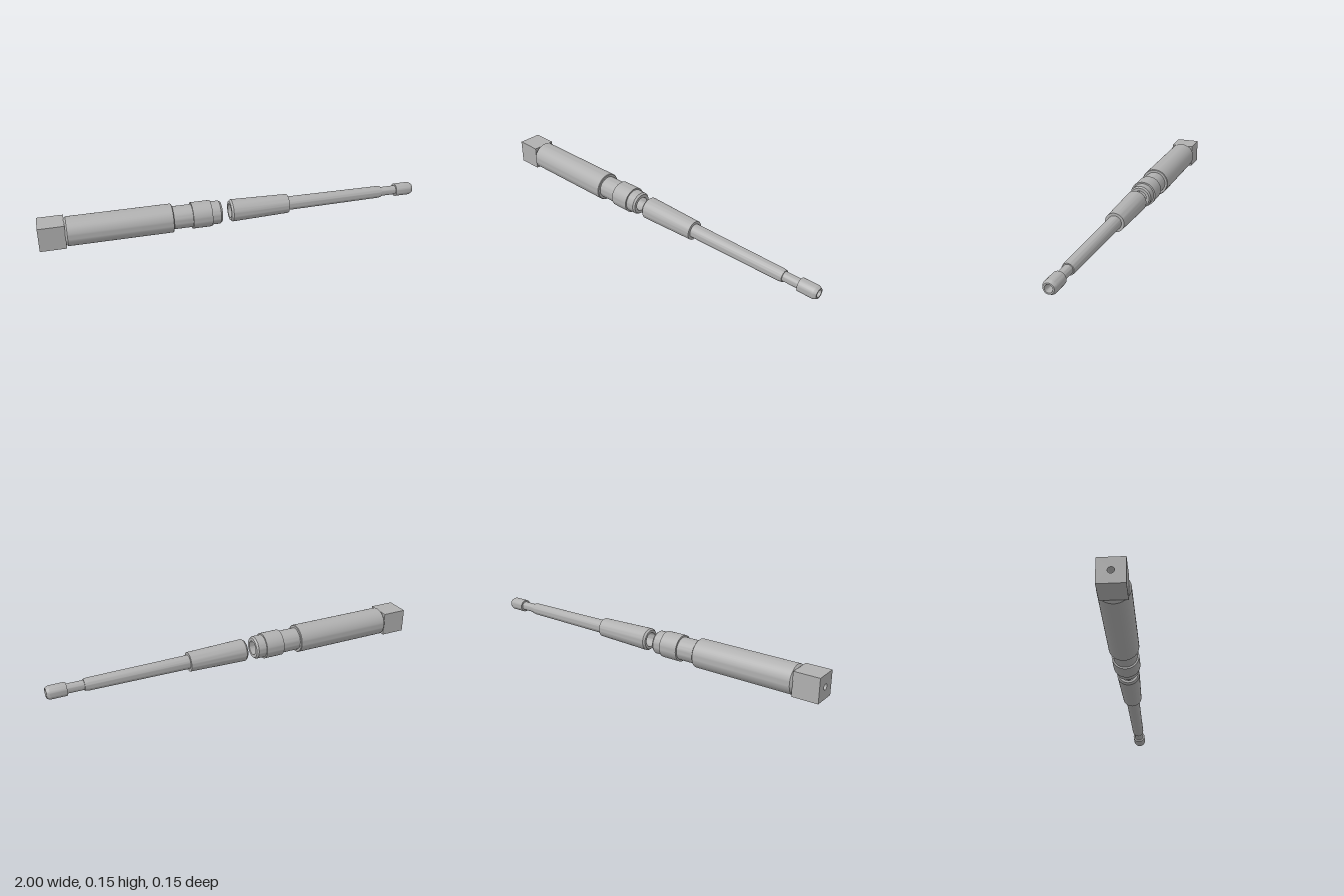
import * as THREE from 'three';
import { toCreasedNormals } from 'three/addons/utils/BufferGeometryUtils.js';

const AXIS_Y = 0.074;

export function createModel() {
  const model = new THREE.Group();
  const metal = new THREE.MeshStandardMaterial({ color: 0xb0b0b0 });
  metal.name = 'grey metal';

  const add = (name, geometry) => {
    const mesh = new THREE.Mesh(geometry, metal);
    mesh.name = name;
    mesh.position.y = AXIS_Y;
    model.add(mesh);
  };

  // Hollow turned part: [x, radius] pairs run along the outside, then back down the bore
  const turned = (outer, bore) => {
    const loop = [...outer, ...bore, outer[0]];
    const geometry = new THREE.LatheGeometry(loop.map(([x, r]) => new THREE.Vector2(r, x)), 48);
    geometry.rotateZ(-Math.PI / 2);
    return toCreasedNormals(geometry, 0.5);
  };

  // Square drive end with a drilled hole
  const h = 0.062;
  const square = new THREE.Shape([[-h, -h], [h, -h], [h, h], [-h, h]].map(([a, b]) => new THREE.Vector2(a, b)));
  const hole = new THREE.Path();
  hole.absarc(0, 0, 0.015, 0, Math.PI * 2, true);
  square.holes.push(hole);
  const block = new THREE.ExtrudeGeometry(square, { depth: 0.13, bevelEnabled: false, curveSegments: 24 });
  block.rotateY(Math.PI / 2);
  block.translate(-1, 0, 0);
  add('squareEnd', toCreasedNormals(block, 0.5));

  // Thick barrel with neck, collar and socketed nose
  add('barrel', turned(
    [[-0.872, 0.064], [-0.862, 0.074], [-0.338, 0.074], [-0.335, 0.071], [-0.335, 0.059],
      [-0.235, 0.059], [-0.235, 0.068], [-0.135, 0.068], [-0.135, 0.06], [-0.09, 0.06], [-0.08, 0.053]],
    [[-0.08, 0.037], [-0.18, 0.037], [-0.18, 0.015], [-0.872, 0.015]],
  ));

  // Tapered sleeve, long rod and tip
  add('taperedRod', turned(
    [[-0.032, 0.05], [-0.022, 0.058], [0.282, 0.05], [0.282, 0.036], [0.8, 0.032], [0.818, 0.029],
      [0.818, 0.024], [0.903, 0.024], [0.903, 0.034], [0.985, 0.034], [1, 0.026]],
    [[1, 0.019], [0.98, 0.015], [0.07, 0.015], [0.07, 0.037], [-0.032, 0.037]],
  ));

  return model;
}
